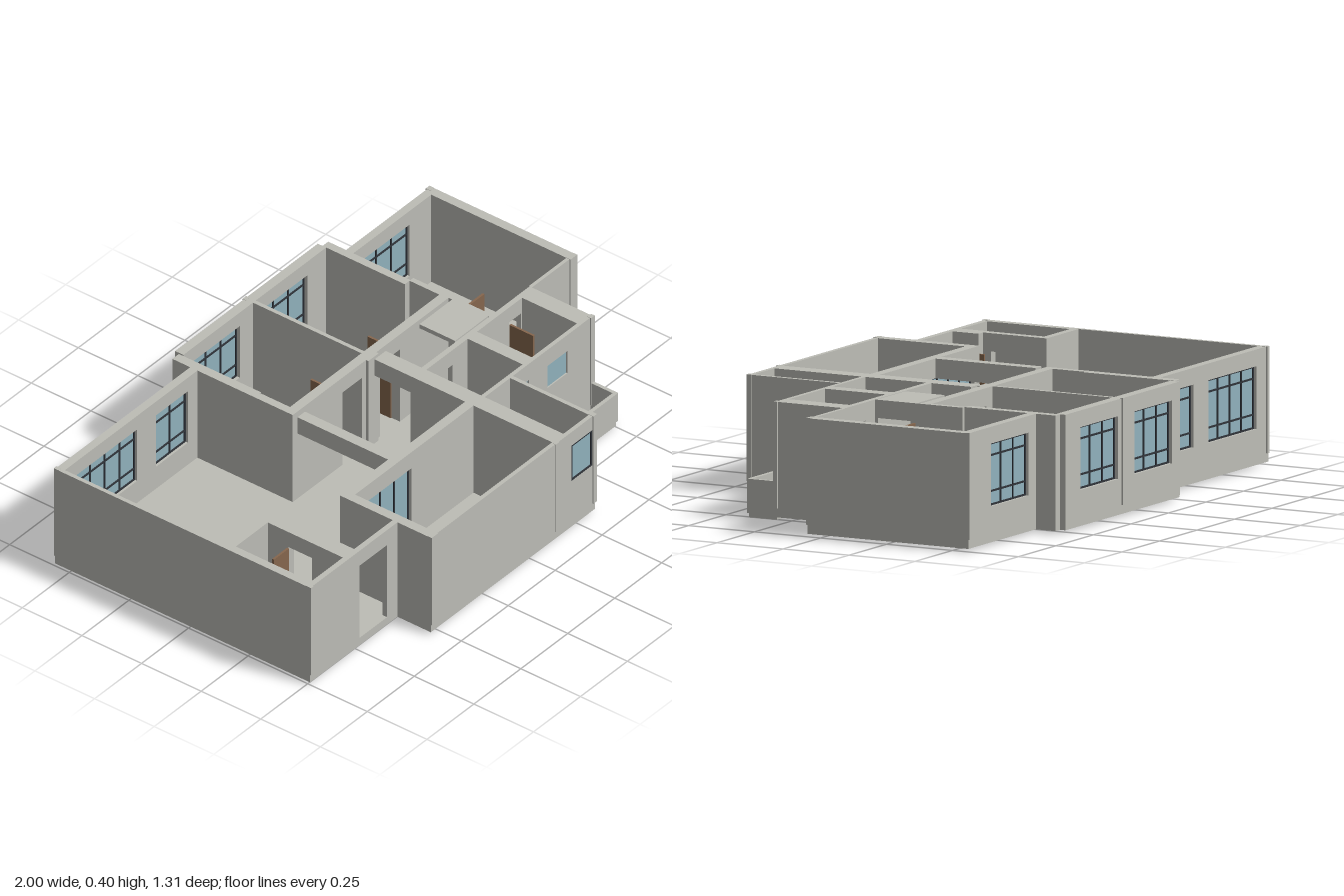
import * as THREE from 'three';

const mat = (name, color, extra = {}) => Object.assign(new THREE.MeshStandardMaterial({ color, ...extra }), { name });

export function createModel() {
  const root = new THREE.Group();
  root.name = 'apartment';
  const plaster = mat('plaster', 0xbdbdb6);
  const glass = mat('glass', 0x90b2bd);
  const frame = mat('darkFrame', 0x30343a);
  const wood = mat('doorWood', 0x86674e);
  const FLOOR = 0.04, TOP = 0.396;

  // Box given by its minimum and maximum on each axis
  const box = (name, m, x0, x1, y0, y1, z0, z1, parent = root) => {
    const mesh = new THREE.Mesh(new THREE.BoxGeometry(x1 - x0, y1 - y0, z1 - z0), m);
    mesh.position.set((x0 + x1) / 2, (y0 + y1) / 2, (z0 + z1) / 2);
    mesh.name = name;
    parent.add(mesh);
    return mesh;
  };

  // Straight wall; each opening is [start, end, bottom, top] along its run
  const wall = (name, axis, a0, a1, b0, b1, openings = []) => {
    const g = new THREE.Group();
    g.name = name;
    root.add(g);
    const piece = (s, e, y0, y1) => {
      if (e - s < 1e-4 || y1 - y0 < 1e-4) return;
      if (axis === 'x') box(name + 'Piece', plaster, s, e, y0, y1, b0, b1, g);
      else box(name + 'Piece', plaster, b0, b1, y0, y1, s, e, g);
    };
    let at = a0;
    for (const [s, e, y0, y1] of openings) {
      piece(at, s, FLOOR, TOP);
      piece(s, e, FLOOR, y0);
      piece(s, e, y1, TOP);
      at = e;
    }
    piece(at, a1, FLOOR, TOP);
  };

  // Glazing across x, with upright and level bars
  const glazing = (name, [x0, x1, y0, y1], z, columns, levels = []) => {
    const g = new THREE.Group();
    g.name = name;
    root.add(g);
    box('pane', glass, x0, x1, y0, y1, z - 0.002, z + 0.002, g);
    const w = 0.003, d = 0.006;
    for (let i = 0; i <= columns; i++) {
      const x = THREE.MathUtils.lerp(x0 + w, x1 - w, i / columns);
      box('upright', frame, x - w, x + w, y0, y1, z - d, z + d, g);
    }
    for (const y of [y0 + w, y1 - w, ...levels])
      box('rail', frame, x0, x1, y - w, y + w, z - d, z + d, g);
  };

  // Floor slab following the outline of the plan
  const outline = [[-1, -0.56], [-0.28, -0.56], [-0.28, -0.635], [-0.24, -0.635], [-0.24, -0.655], [0.52, -0.655],
    [0.52, -0.635], [0.55, -0.635], [0.55, -0.56], [1, -0.56], [1, 0.05], [0.765, 0.05], [0.765, 0.305],
    [0.34, 0.305], [0.34, 0.65], [-0.535, 0.65], [-0.535, 0.51], [-1, 0.51]];
  const slabShape = new THREE.Shape(outline.map(([x, z]) => new THREE.Vector2(x, -z)));
  const slabGeo = new THREE.ExtrudeGeometry(slabShape, { depth: FLOOR - 0.01, bevelEnabled: false });
  slabGeo.rotateX(-Math.PI / 2);
  const slab = new THREE.Mesh(slabGeo, plaster);
  slab.name = 'floorSlab';
  slab.position.y = 0.01;
  root.add(slab);

  // Back walls with their large windows
  const W = (a, b) => [a, b, 0.13, 0.34];
  const backWindows = [
    { hole: W(-0.92, -0.6), z: -0.545, n: 4 }, { hole: W(-0.5, -0.33), z: -0.545, n: 2 },
    { hole: W(-0.19, 0.06), z: -0.638, n: 3 }, { hole: W(0.17, 0.42), z: -0.638, n: 3 },
    { hole: W(0.6, 0.85), z: -0.545, n: 3 }];
  const holes = backWindows.map(w => w.hole);
  backWindows.forEach(w => glazing('backWindow', w.hole, w.z, w.n, [0.178, 0.298]));
  wall('livingBackWall', 'x', -1, -0.28, -0.56, -0.53, holes.slice(0, 2));
  wall('bedroomBackWall', 'x', -0.24, 0.52, -0.655, -0.62, holes.slice(2, 4));
  wall('rightRoomBackWall', 'x', 0.55, 1, -0.56, -0.53, holes.slice(4));

  // Bedroom walls
  wall('bedroomLeftWall', 'z', -0.635, -0.29, -0.28, -0.245);
  wall('bedroomLeftWallThin', 'z', -0.29, -0.13, -0.28, -0.255);
  wall('bedroomRightWall', 'z', -0.635, -0.29, 0.52, 0.55);
  wall('bedroomRightWallThin', 'z', -0.29, -0.13, 0.545, 0.565);
  wall('bedroomPartition', 'z', -0.62, -0.165, 0.13, 0.145);
  wall('bedroomFrontWall', 'x', -0.255, 0.545, -0.165, -0.13,
    [[-0.015, 0.09, FLOOR, 0.335], [0.185, 0.29, FLOOR, 0.335]]);
  box('corridorPost', plaster, 0.11, 0.165, FLOOR, TOP, -0.142, -0.12);

  // Living room and entrance
  wall('livingLeftWall', 'z', -0.56, 0.15, -1, -0.985);
  wall('entryLeftWall', 'z', 0.15, 0.51, -1, -0.97);
  wall('entryBackWall', 'x', -0.97, -0.77, 0.15, 0.175);
  wall('entryRightWall', 'z', 0.175, 0.39, -0.8, -0.77, [[0.262, 0.36, FLOOR, 0.335]]);
  wall('entryFrontWall', 'x', -0.97, -0.8, 0.49, 0.51);
  wall('entryPier', 'x', -0.8, -0.74, 0.39, 0.51);
  wall('mainDoorWall', 'x', -0.74, -0.535, 0.49, 0.51, [[-0.738, -0.59, FLOOR, 0.335]]);

  // Ceiling beams and the panel over the corridor
  box('diningBeam', plaster, -0.28, -0.24, 0.33, TOP, -0.11, 0.27);
  box('corridorBeam', plaster, 0.13, 0.19, 0.33, TOP, -0.11, 0.04);
  box('corridorCeiling', plaster, 0.375, 0.555, 0.38, TOP, -0.115, 0.035);

  // Front rooms
  const slider = [-0.5, -0.2, FLOOR, 0.33];
  wall('frontRoomBackWall', 'x', -0.5, 0.13, 0.27, 0.305, [slider]);
  glazing('slidingDoor', slider, 0.288, 4);
  wall('frontRoomLeftWall', 'z', 0.27, 0.635, -0.535, -0.5);
  wall('middleWall', 'z', 0.04, 0.635, 0.13, 0.19);
  wall('frontRoomRightWall', 'z', 0.305, 0.635, 0.325, 0.34);
  const frontWindow = [0.215, 0.325, 0.195, 0.34];
  wall('frontWall', 'x', -0.535, 0.34, 0.635, 0.65, [frontWindow]);
  glazing('frontWindow', frontWindow, 0.643, 1);

  // Right room
  wall('rightRoomRightWall', 'z', -0.53, 0.05, 0.965, 1);
  wall('rightRoomFrontWall', 'x', 0.765, 0.965, 0.037, 0.05);
  wall('rightRoomDoorWall', 'z', -0.13, 0.04, 0.55, 0.565, [[-0.112, 0.03, FLOOR, 0.335]]);

  // Bathrooms
  wall('bathroomBackWall', 'x', 0.19, 0.765, 0.04, 0.06,
    [[0.23, 0.33, FLOOR, 0.335], [0.63, 0.695, FLOOR, 0.335]]);
  wall('bathroomPartition', 'z', 0.06, 0.29, 0.41, 0.46);
  wall('bathroomRightWall', 'z', 0.06, 0.29, 0.7, 0.765);
  const bathWindows = [[0.345, 0.425, 0.24, 0.33], [0.525, 0.63, 0.24, 0.33]];
  wall('bathroomFrontWall', 'x', 0.19, 0.765, 0.29, 0.305, bathWindows);
  bathWindows.forEach(([x0, x1, y0, y1]) => box('bathroomWindow', glass, x0, x1, y0, y1, 0.294, 0.3));

  // Shallow pilasters at outer corners and wall ends
  for (const [x0, x1, z0, z1] of [[-0.535, -0.5, 0.64, 0.654], [0.125, 0.145, 0.64, 0.654], [0.325, 0.344, 0.635, 0.654],
    [0.75, 0.77, 0.295, 0.31], [0.965, 1, 0.04, 0.055], [-1, -0.985, 0.495, 0.514], [0.98, 1, -0.565, -0.545],
    [-1, -0.985, -0.565, -0.545], [0.125, 0.145, -0.66, -0.645]])
    box('pilaster', plaster, x0, x1, FLOOR, TOP + 0.001, z0, z1);

  // Open ledge outside the bathrooms
  box('ledgeFloor', plaster, 0.44, 0.755, 0, 0.016, 0.305, 0.41);
  box('ledgeFront', plaster, 0.43, 0.765, 0.016, 0.13, 0.398, 0.412);
  box('ledgeLeft', plaster, 0.752, 0.765, 0.016, 0.13, 0.305, 0.398);
  box('ledgeRight', plaster, 0.43, 0.443, 0.016, 0.13, 0.305, 0.398);

  // Open door leaves with handles; length runs along x or z
  for (const [axis, s, e, c] of [['z', -0.262, -0.165, -0.015], ['z', -0.262, -0.165, 0.29], ['z', 0.065, 0.165, 0.63],
    ['z', 0.365, 0.5, -0.735], ['x', 0.567, 0.71, -0.11], ['x', -0.88, -0.8, 0.26]]) {
    const g = new THREE.Group();
    g.name = 'door';
    root.add(g);
    const part = (name, m, a, b, y0, y1, t) => axis === 'x'
      ? box(name, m, a, b, y0, y1, c - t, c + t, g) : box(name, m, c - t, c + t, y0, y1, a, b, g);
    part('leaf', wood, s, e, FLOOR, 0.33, 0.004);
    const h = axis === 'z' && s > 0 ? s + 0.012 : axis === 'x' && s > 0 ? e - 0.012 : s + 0.012;
    part('handle', frame, h - 0.005, h + 0.005, 0.17, 0.178, 0.009);
  }

  // Toilets: lathed bowl, lid and tank
  const profile = [[0, 0], [0.016, 0], [0.014, 0.025], [0.03, 0.05], [0.03, 0.058], [0.022, 0.058], [0.016, 0.042], [0, 0.038]];
  for (const [x, z] of [[0.37, 0.125], [0.503, 0.217]]) {
    const bowl = new THREE.Mesh(
      new THREE.LatheGeometry(profile.map(p => new THREE.Vector2(...p)), 20), plaster);
    bowl.name = 'toiletBowl';
    bowl.position.set(x, FLOOR, z);
    bowl.scale.z = 1.2;
    root.add(bowl);
    box('toiletTank', plaster, x + 0.03, x + 0.045, FLOOR, 0.125, z - 0.03, z + 0.03);
  }

  // Basins on posts
  for (const [x, z] of [[0.297, 0.255], [0.472, 0.138]]) {
    box('basin', plaster, x - 0.018, x + 0.018, 0.12, 0.14, z - 0.018, z + 0.018);
    box('basinPost', plaster, x - 0.008, x + 0.008, FLOOR, 0.12, z - 0.008, z + 0.008);
  }
  return root;
}
